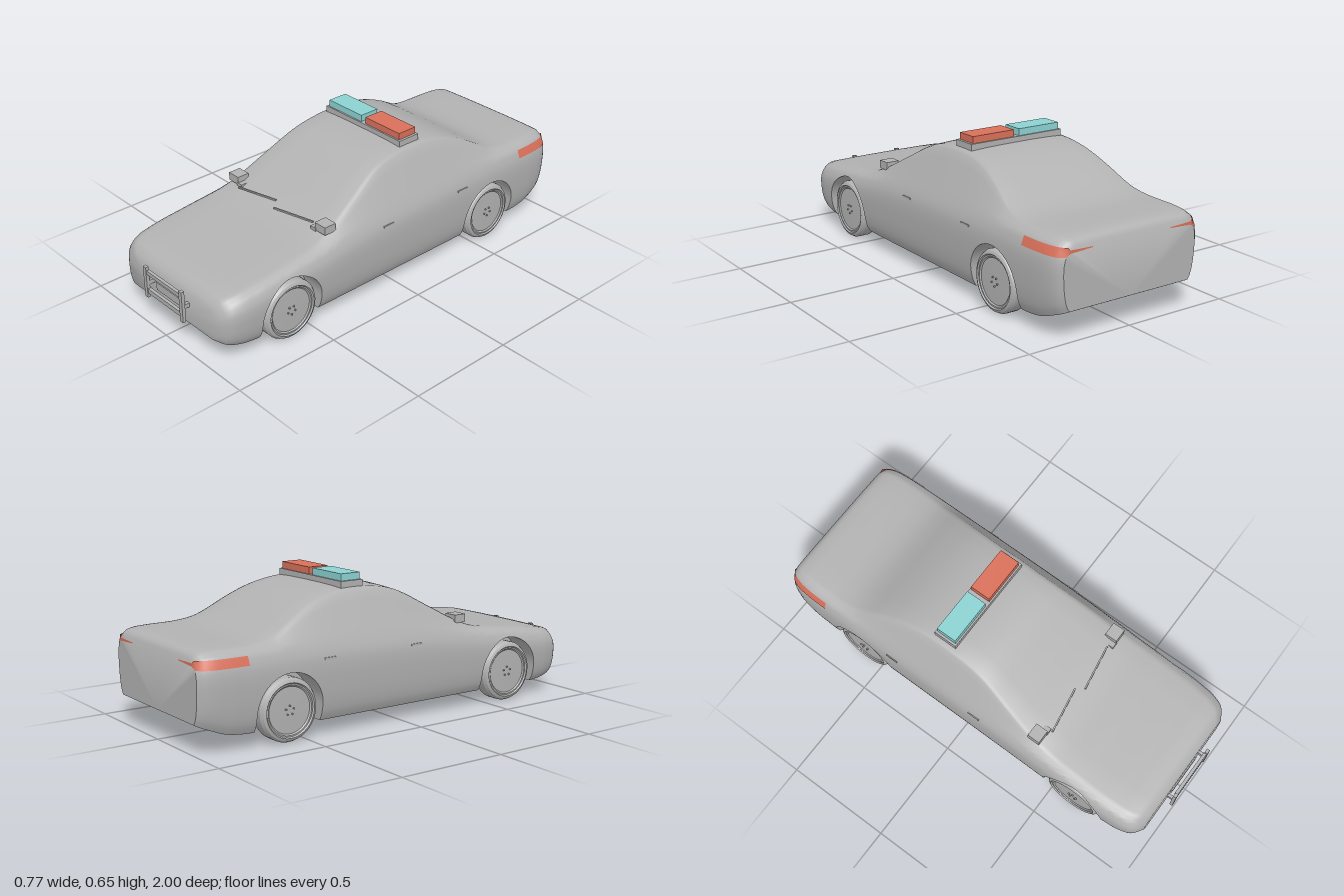
import * as THREE from 'three';
import { toCreasedNormals } from 'three/addons/utils/BufferGeometryUtils.js';

const mat = (name, color, side = THREE.FrontSide) => {
  const m = new THREE.MeshStandardMaterial({ color, side });
  m.name = name;
  return m;
};
const WHEEL_Z = [-0.585, 0.615], AXLE_Y = 0.14, ARCH_R = 0.16;

// Body stations: z, top height, bottom height, half width, beltline height
const STATIONS = [
  [-1, 0.395, 0.13, 0.34, 0.378], [-0.985, 0.414, 0.122, 0.355, 0.39], [-0.95, 0.424, 0.108, 0.37, 0.398],
  [-0.88, 0.427, 0.082, 0.38, 0.402], [-0.8, 0.427, 0.07, 0.383, 0.402], [-0.73, 0.429, 0.068, 0.384, 0.402],
  [-0.66, 0.441, 0.068, 0.384, 0.402], [-0.6, 0.465, 0.068, 0.384, 0.402], [-0.5, 0.52, 0.068, 0.384, 0.402],
  [-0.4, 0.565, 0.068, 0.384, 0.402], [-0.3, 0.591, 0.068, 0.384, 0.4], [-0.18, 0.6, 0.068, 0.384, 0.397],
  [-0.05, 0.592, 0.068, 0.384, 0.393], [0.05, 0.567, 0.068, 0.384, 0.388], [0.2, 0.488, 0.068, 0.384, 0.375],
  [0.35, 0.407, 0.068, 0.384, 0.355], [0.43, 0.374, 0.068, 0.384, 0.342], [0.6, 0.346, 0.068, 0.384, 0.324],
  [0.8, 0.322, 0.07, 0.382, 0.3], [0.88, 0.31, 0.08, 0.372, 0.286], [0.93, 0.293, 0.094, 0.35, 0.265],
  [0.96, 0.26, 0.11, 0.305, 0.232],
];
const stationCurve = new THREE.CubicInterpolant(STATIONS.map((s) => s[0]), STATIONS.flatMap((s) => s.slice(1)), 4);
// Side bulge: fraction of the half width from sill to beltline
const bulge = new THREE.CubicInterpolant([0, 0.08, 0.25, 0.5, 0.7, 0.85, 1], [0.91, 0.945, 0.978, 0.997, 1, 0.985, 0.935], 1);

function sideX(z, y) {
  const [, bottom, w, belt] = stationCurve.evaluate(z);
  return w * bulge.evaluate(THREE.MathUtils.clamp((y - bottom) / (belt - bottom), 0, 1))[0];
}

// Closed cross-section of the body; archY lifts the underside over a wheel
function section(z, archY) {
  const [top, bottom, w, belt] = stationCurve.evaluate(z);
  const low = Math.max(bottom, archY);
  const inner = w * 0.7;
  const half = [[0, bottom], [inner, bottom], [inner, low]];
  for (let i = 0; i <= 14; i++) {
    const y = Math.max(low, THREE.MathUtils.lerp(bottom, belt, i / 14));
    half.push([sideX(z, y), y]);
  }
  // Side windows lean in towards the roof
  const k = THREE.MathUtils.clamp((top - belt) / 0.2, 0, 1);
  const rise = top - belt;
  const drop = Math.min(0.02, rise * 0.4);
  const r = w * THREE.MathUtils.lerp(0.9, 0.7, k);
  const bx = w * 0.935;
  for (const t of [0.2, 0.4, 0.6, 0.8, 1]) {
    half.push([THREE.MathUtils.lerp(bx, r, t), belt + (rise - drop) * t]);
  }
  half.push([r - 0.009, top - drop * 0.55], [r - 0.025, top - drop * 0.3], [r * 0.65, top - drop * 0.1], [r * 0.3, top], [0, top]);
  return [...half, ...half.slice(1, -1).reverse().map(([x, y]) => [-x, y])].map(([x, y]) => [x, y, z]);
}

function bodyGeometry() {
  const rings = [];
  const run = (a, b, n) => {
    for (let i = 0; i <= n; i++) rings.push(section(THREE.MathUtils.lerp(a, b, i / n), 0));
  };
  const arch = (c) => {
    for (let i = 0; i <= 24; i++) {
      const a = Math.PI * (1 - i / 24);
      rings.push(section(c + ARCH_R * Math.cos(a), AXLE_Y + ARCH_R * Math.sin(a)));
    }
  };
  const [rear, front] = WHEEL_Z;
  run(-1, rear - ARCH_R, 18);
  arch(rear);
  run(rear + ARCH_R, front - ARCH_R, 40);
  arch(front);
  run(front + ARCH_R, 0.96, 14);

  const n = rings[0].length, last = (rings.length - 1) * n, index = [];
  for (let i = 0; i < rings.length - 1; i++) {
    for (let j = 0; j < n; j++) {
      const a = i * n + j, b = i * n + ((j + 1) % n);
      index.push(a, b, a + n, b, b + n, a + n);
    }
  }
  // Flat nose and tail panels
  for (let j = 1; j < n - 1; j++) index.push(0, j + 1, j, last, last + j, last + j + 1);
  const g = new THREE.BufferGeometry();
  g.setAttribute('position', new THREE.Float32BufferAttribute(rings.flat(2), 3));
  g.setIndex(index);
  return toCreasedNormals(g, 0.7);
}

// Lamp strip that follows the rear flank, then tapers across the tail
function tailLampGeometry(s) {
  const pos = [], index = [], n = 14;
  for (let i = 0; i <= n; i++) {
    const z = THREE.MathUtils.lerp(-0.78, -1, i / n);
    for (const y of [0.355, 0.375, 0.393]) pos.push(s * (sideX(z, y) + 0.003), y, z);
  }
  pos.push(s * 0.31, 0.368, -1.002, s * 0.31, 0.375, -1.002, s * 0.31, 0.382, -1.002);
  pos.push(s * 0.2, 0.374, -1.002, s * 0.2, 0.376, -1.002, s * 0.2, 0.378, -1.002);
  for (let i = 0; i < n + 2; i++) {
    for (let j = 0; j < 2; j++) {
      const a = i * 3 + j;
      if (s > 0) index.push(a, a + 1, a + 3, a + 1, a + 4, a + 3);
      else index.push(a, a + 3, a + 1, a + 1, a + 3, a + 4);
    }
  }
  const g = new THREE.BufferGeometry();
  g.setAttribute('position', new THREE.Float32BufferAttribute(pos, 3));
  g.setIndex(index);
  g.computeVertexNormals();
  return g;
}

export function createModel() {
  const car = new THREE.Group();
  car.name = 'patrolCar';
  const grey = mat('bodyGrey', 0xb2b2b2);
  const red = mat('lampRed', 0xd9705a);
  const redStrip = mat('tailLampRed', 0xd9705a, THREE.DoubleSide);
  const teal = mat('lampTeal', 0x8cd2d2);

  const add = (name, geometry, material, parent = car) => {
    const m = new THREE.Mesh(geometry, material);
    m.name = name;
    parent.add(m);
    return m;
  };
  // Box given by its two extreme corners
  const box = (name, x0, x1, y0, y1, z0, z1, material = grey) => {
    const m = add(name, new THREE.BoxGeometry(Math.abs(x1 - x0), y1 - y0, z1 - z0), material);
    m.position.set((x0 + x1) / 2, (y0 + y1) / 2, (z0 + z1) / 2);
    return m;
  };

  add('body', bodyGeometry(), grey);

  // Wheels: tyre and dished rim in one lathe, with hub and nuts
  const profile = [[0, -0.045], [0.115, -0.047], [0.129, -0.041], [0.137, -0.027], [0.137, 0.027], [0.129, 0.041],
    [0.117, 0.047], [0.112, 0.041], [0.106, 0.041], [0.1, 0.036], [0.03, 0.038], [0, 0.038]];
  const wheelGeometry = toCreasedNormals(
    new THREE.LatheGeometry(profile.map(([x, y]) => new THREE.Vector2(x, y)), 40), 0.45);
  const nutGeometry = new THREE.CylinderGeometry(0.004, 0.004, 0.008, 8);
  for (const z of WHEEL_Z) {
    for (const s of [-1, 1]) {
      const wheel = new THREE.Group();
      wheel.name = (z > 0 ? 'front' : 'rear') + (s > 0 ? 'Left' : 'Right') + 'Wheel';
      wheel.position.set(s * 0.328, 0.139, z);
      wheel.rotation.z = -s * Math.PI / 2;
      add('tyreAndRim', wheelGeometry, grey, wheel);
      for (let i = 0; i < 5; i++) {
        const a = (i / 5) * Math.PI * 2;
        add('wheelNut', nutGeometry, grey, wheel).position.set(0.02 * Math.cos(a), 0.04, 0.02 * Math.sin(a));
      }
      car.add(wheel);
    }
  }

  // Roof light bar
  box('lightBarBase', -0.24, 0.24, 0.59, 0.622, -0.235, -0.122);
  box('tealBeacon', -0.229, -0.014, 0.622, 0.653, -0.228, -0.13, teal);
  box('redBeacon', 0.012, 0.228, 0.622, 0.653, -0.228, -0.13, red);

  // Push bar and number plate blank
  for (const s of [-1, 1]) {
    box('pushBarUpright', s * 0.115, s * 0.135, 0.135, 0.284, 0.985, 1);
    box('pushBarMount', s * 0.115, s * 0.13, 0.195, 0.215, 0.955, 0.985);
  }
  box('pushBarTopRail', -0.115, 0.115, 0.25, 0.268, 0.982, 0.997);
  box('pushBarLowerRail', -0.115, 0.115, 0.156, 0.178, 0.982, 0.997);
  box('plateBlank', -0.096, 0.096, 0.17, 0.207, 0.955, 0.966);

  // Mirrors, door handles and tail lamps
  for (const s of [-1, 1]) {
    box('mirror', s * 0.26, s * 0.325, 0.39, 0.427, 0.33, 0.39);
    box('mirrorStem', s * 0.234, s * 0.267, 0.382, 0.4, 0.36, 0.392);
    for (const z of [-0.39, 0.07]) {
      const x = sideX(z, 0.335);
      box('doorHandle', s * (x - 0.006), s * (x + 0.003), 0.331, 0.34, z - 0.03, z + 0.03);
    }
    add('tailLamp', tailLampGeometry(s), redStrip);
  }

  // Windscreen wipers, both swept the same way
  for (const x of [-0.24, 0.006]) {
    const a = new THREE.Vector3(x, 0.39, 0.402), b = new THREE.Vector3(x + 0.217, 0.404, 0.368);
    const wiper = add('wiper', new THREE.BoxGeometry(0.007, 0.007, a.distanceTo(b)), grey);
    wiper.position.copy(a).lerp(b, 0.5);
    wiper.lookAt(b);
  }
  return car;
}
